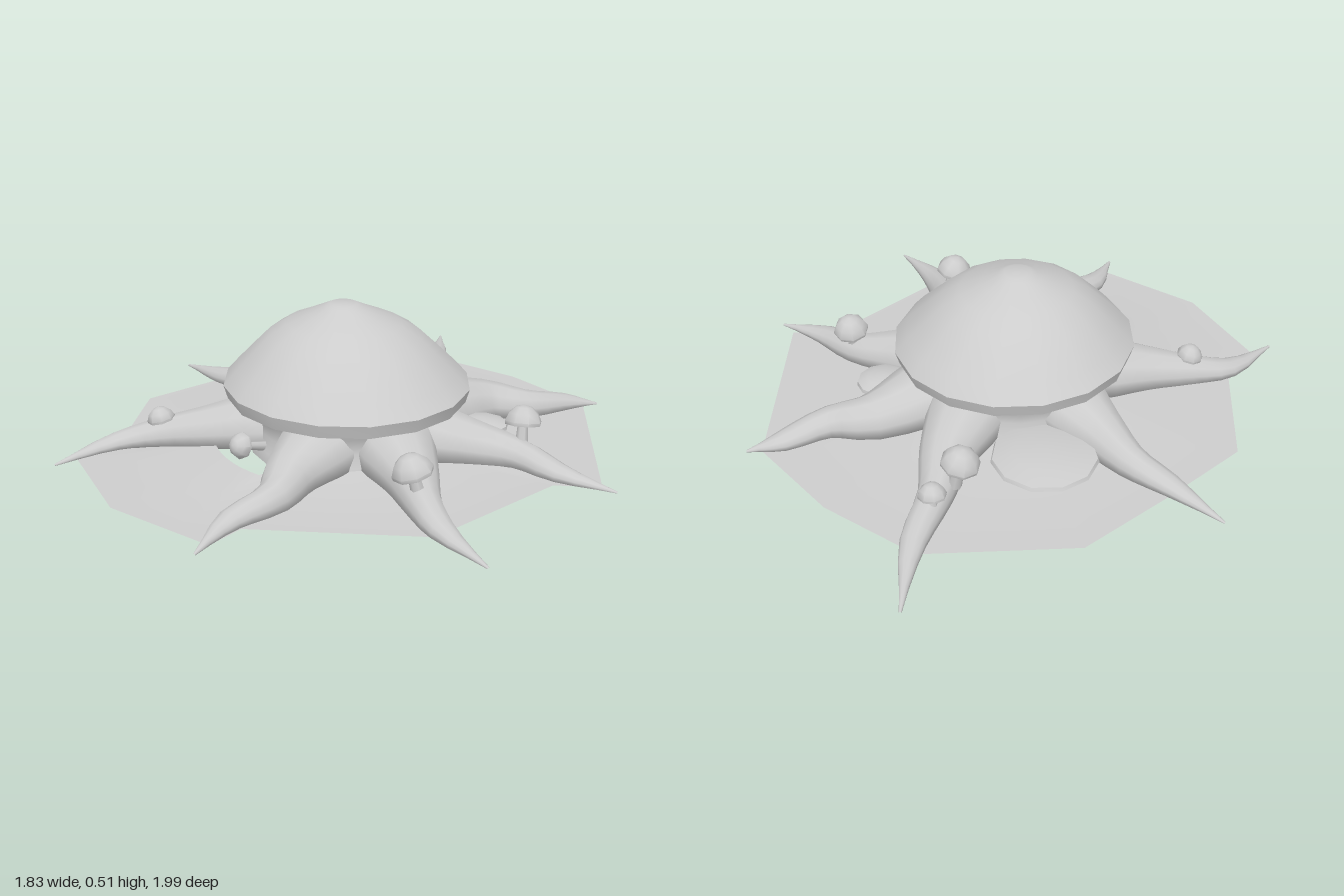
import * as THREE from 'three';
import { toCreasedNormals } from 'three/addons/utils/BufferGeometryUtils.js';

const grey = new THREE.MeshStandardMaterial({ color: 0xcccccc });
grey.name = 'pale grey';
const greySheet = new THREE.MeshStandardMaterial({ color: 0xcccccc, side: THREE.DoubleSide });
greySheet.name = 'pale grey sheet';

const CX = -0.01, CZ = 0.08; // centre of the stem and cap

function add(parent, name, geometry, material = grey) {
  const mesh = new THREE.Mesh(geometry, material);
  mesh.name = name;
  parent.add(mesh);
  return mesh;
}

function lathe(points, sides, crease = 0.9) {
  const geo = new THREE.LatheGeometry(points.map(([r, y]) => new THREE.Vector2(r, y)), sides);
  return toCreasedNormals(geo, crease);
}

function gridGeometry(positions, rows, cols, closed) {
  const index = [];
  const last = closed ? cols : cols - 1;
  for (let i = 0; i < rows - 1; i++) {
    for (let j = 0; j < last; j++) {
      const k = (j + 1) % cols;
      const a = i * cols + j, b = i * cols + k;
      index.push(a, a + cols, b, b, a + cols, b + cols);
    }
  }
  const geo = new THREE.BufferGeometry();
  geo.setAttribute('position', new THREE.Float32BufferAttribute(positions, 3));
  geo.setIndex(index);
  geo.computeVertexNormals();
  return geo;
}

// Root: tapered cross-sections swept along a path of [x, z]
const ROOT_TOP = [0.215, 0.165, 0.125, 0.085, 0.04];
const ROOT_WIDTH = [0.13, 0.085, 0.055, 0.04, 0.004];
function rootGeometry(path) {
  const curve = new THREE.CatmullRomCurve3(path.map(([x, z], i) => new THREE.Vector3(x, ROOT_TOP[i], z)));
  const widths = new THREE.SplineCurve(ROOT_WIDTH.map((w, i) => new THREE.Vector2(i, w)));
  const rows = 13, cols = 10, pos = [];
  for (let i = 0; i < rows; i++) {
    const t = i / (rows - 1);
    const p = curve.getPoint(t), d = curve.getTangent(t);
    const len = Math.hypot(d.x, d.z);
    const sx = -d.z / len, sz = d.x / len;
    const w = Math.max(0.003, widths.getPoint(t).y);
    const bottom = 0.022 + 0.012 * t;
    const mid = (p.y + bottom) / 2, half = (p.y - bottom) / 2;
    for (let j = 0; j < cols; j++) {
      const a = j / cols * Math.PI * 2;
      const s = Math.cos(a) * w * (Math.sin(a) < -0.1 ? 1.25 : 1);
      pos.push(p.x + sx * s, mid + Math.sin(a) * half, p.z + sz * s);
    }
  }
  return gridGeometry(pos, rows, cols, true);
}

// Ground: thin sheet from the stem to an irregular outline, open in front
function groundGeometry() {
  const outline = [
    [-0.2, -0.78], [0.16, -0.76], [0.5, -0.65], [0.85, -0.06], [0.72, 0.02], [0.6, 0.52],
    [0.11, 0.79], [0.1, 0.92], [-0.3, 0.9], [-0.64, 0.7], [-0.62, 0.52], [-0.81, 0.17],
    [-0.72, -0.15], [-0.61, -0.49]];
  const edge = [];
  outline.forEach(([x, z], i) => {
    const [nx, nz] = outline[(i + 1) % outline.length];
    for (let k = 0; k < 5; k++) edge.push([x + (nx - x) * k / 5, z + (nz - z) * k / 5]);
  });
  const rows = 7, pos = [];
  for (let i = 0; i < rows; i++) {
    const t = i / (rows - 1);
    for (const [x, z] of edge) {
      const dx = x - CX, dz = z - CZ, r = Math.hypot(dx, dz);
      const angle = Math.atan2(dz, dx);
      const inner = angle > 1.55 && angle < 2.45 ? 0.44 : 0.31;
      const f = (inner + (r - inner) * t) / r;
      pos.push(CX + dx * f, 0.034 + 0.03 * (1 - t) ** 2, CZ + dz * f);
    }
  }
  return gridGeometry(pos, rows, edge.length, true);
}

// Small mushroom leaning from its base to its cap
function smallMushroom(base, top, r) {
  const g = new THREE.Group();
  g.name = 'smallMushroom';
  const a = new THREE.Vector3(...base), b = new THREE.Vector3(...top);
  const h = a.distanceTo(b), capH = r * 1.05;
  const stem = add(g, 'smallStem', new THREE.CylinderGeometry(r * 0.24, r * 0.36, h - capH * 0.6, 7));
  stem.position.y = (h - capH * 0.6) / 2;
  const cap = add(g, 'smallCap', lathe([[0, 0.14 * r], [0.55 * r, 0.08 * r], [0.96 * r, 0], [r, 0.18 * r],
    [0.8 * r, 0.6 * r], [0.45 * r, 0.92 * r], [0, capH]], 8));
  cap.position.y = h - capH;
  g.position.copy(a);
  g.quaternion.setFromUnitVectors(new THREE.Vector3(0, 1, 0), b.sub(a).normalize());
  return g;
}

export function createModel() {
  const model = new THREE.Group();
  model.name = 'mushroomWithRoots';

  // Main cap with a turned-under rim and a small blunt tip
  const cap = add(model, 'mainCap', lathe([
    [0, 0.225], [0.3, 0.218], [0.375, 0.203], [0.392, 0.206], [0.405, 0.25], [0.365, 0.295],
    [0.315, 0.345], [0.25, 0.408], [0.19, 0.445], [0.12, 0.475], [0.065, 0.5], [0.045, 0.509], [0, 0.509]], 16, 0.75));
  const p = cap.geometry.attributes.position;
  for (let i = 0; i < p.count; i++) {
    const high = Math.max(0, p.getY(i) - 0.3);
    p.setX(i, p.getX(i) - high * 0.06);
    p.setY(i, p.getY(i) - p.getX(i) * 0.02);
  }
  cap.position.set(CX, 0, CZ);

  // Stout stem with a shallow rounded bottom
  const stem = add(model, 'mainStem', lathe([
    [0, 0], [0.2, 0.004], [0.28, 0.015], [0.325, 0.035], [0.32, 0.07], [0.3, 0.11], [0.31, 0.16], [0.34, 0.222]], 20, 1.2));
  stem.position.set(CX, 0, CZ);

  add(model, 'ground', groundGeometry(), greySheet);

  // Roots spreading around the stem
  const roots = [
    [[0, -0.2], [-0.05, -0.4], [-0.12, -0.56], [-0.175, -0.76], [-0.3, -1]],
    [[0.17, -0.17], [0.26, -0.36], [0.38, -0.45], [0.46, -0.59], [0.54, -0.68]],
    [[0.27, 0.03], [0.42, -0.02], [0.56, -0.055], [0.72, -0.03], [0.91, -0.04]],
    [[0.25, 0.19], [0.39, 0.31], [0.5, 0.42], [0.62, 0.51], [0.82, 0.6]],
    [[0.05, 0.33], [0.07, 0.5], [0.11, 0.64], [0.075, 0.8], [0.105, 0.99]],
    [[-0.23, 0.25], [-0.37, 0.36], [-0.5, 0.455], [-0.6, 0.56], [-0.66, 0.78]],
    [[-0.27, 0.02], [-0.42, -0.04], [-0.56, -0.1], [-0.71, -0.12], [-0.92, -0.17]]];
  for (const path of roots) add(model, 'root', rootGeometry(path));

  // Shelf fungi on the back of the stem: [x, y, z, radius]
  for (const [x, y, z, r] of [[-0.32, 0.075, -0.235, 0.175], [0.35, 0.075, -0.18, 0.092]]) {
    const shelf = add(model, 'shelfFungus', lathe([
      [0, -0.02], [r * 0.7, -0.015], [r, 0.004], [r * 0.97, 0.016], [r * 0.6, 0.03], [0, 0.036]], 11));
    shelf.position.set(x, y, z);
  }

  // Small mushrooms growing on the roots and stem
  const small = [
    [[0.485, 0.09, 0.42], [0.455, 0.228, 0.44], 0.065],
    [[0.56, 0.09, -0.07], [0.55, 0.226, -0.1], 0.061],
    [[-0.16, 0.09, -0.51], [-0.195, 0.243, -0.51], 0.064],
    [[-0.16, 0.08, -0.63], [-0.15, 0.172, -0.62], 0.046],
    [[-0.48, 0.07, 0.45], [-0.5, 0.168, 0.46], 0.046],
    [[-0.14, 0.08, 0.36], [-0.16, 0.125, 0.495], 0.044]];
  for (const s of small) model.add(smallMushroom(...s));

  return model;
}
